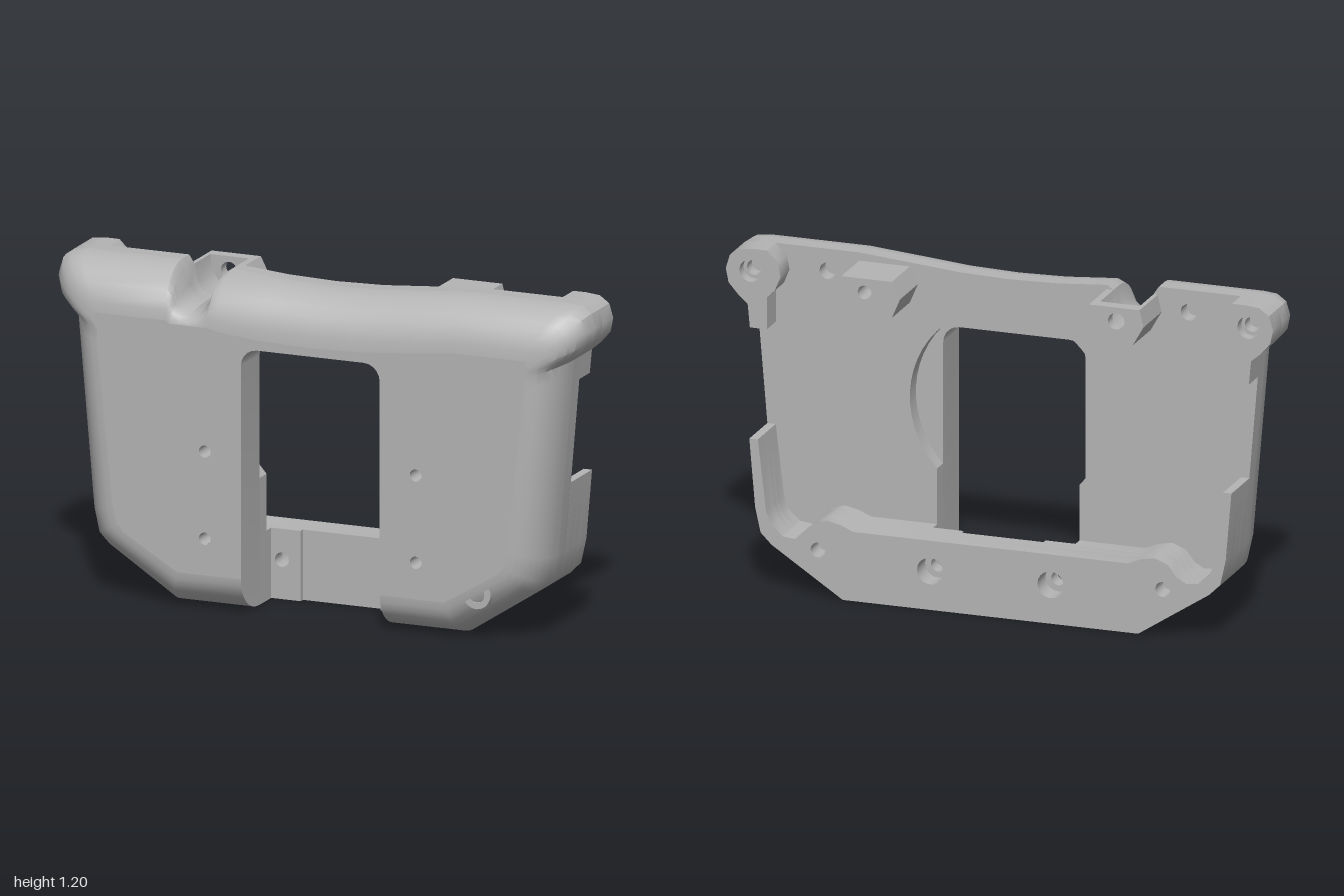
import * as THREE from 'three';
import { toCreasedNormals } from 'three/addons/utils/BufferGeometryUtils.js';

const grey = new THREE.MeshStandardMaterial({ color: 0xb4b4b4, side: THREE.DoubleSide });
grey.name = 'plain grey';

const mirror = pts => pts.map(p => p.map((v, i) => (i % 2 ? v : -v))).reverse();
const arc = (cx, cy, r, a0, a1, n) => Array.from({ length: n + 1 }, (_, i) => {
  const a = a0 + (a1 - a0) * i / n;
  return [cx + r * Math.cos(a), cy + r * Math.sin(a)];
});

// Flat shape from points, with round holes [x, y, radius]
function makeShape(pts, holes = []) {
  const s = new THREE.Shape(pts.map(p => new THREE.Vector2(p[0], p[1])));
  for (const [x, y, r] of holes) s.holes.push(new THREE.Path().absarc(x, y, r, 0, Math.PI * 2, true));
  return s;
}

export function createModel() {
  const group = new THREE.Group();
  const add = (name, geo) => {
    const m = new THREE.Mesh(geo, grey);
    m.name = name;
    group.add(m);
    return m;
  };
  const slab = (name, pts, z0, z1, holes) => {
    const geo = new THREE.ExtrudeGeometry(makeShape(pts, holes), { depth: z1 - z0, bevelEnabled: false, curveSegments: 10 });
    geo.translate(0, 0, z0);
    return add(name, toCreasedNormals(geo, 0.6));
  };
  const pit = (name, x, y, r, z0, z1) => {
    const geo = new THREE.CylinderGeometry(r, r, z1 - z0, 20, 1, true);
    geo.rotateX(Math.PI / 2);
    geo.translate(x, y, (z0 + z1) / 2);
    add(name, geo);
  };

  // Outline of one side: back x, y, then the matching front face x, y
  const side = [
    [0.26, 0, 0.26, 0.13], [0.54, 0, 0.5, 0.13], [0.8, 0.17, 0.7, 0.25], [0.84, 0.21, 0.725, 0.28],
    [0.86, 0.3, 0.74, 0.34], [0.915, 0.95, 0.8, 0.92], [0.92, 1.0, 0.8, 0.96], [0.955, 1.03, 0.81, 0.98],
    [0.99, 1.07, 0.815, 0.99], [1, 1.12, 0.815, 1.0], [0.985, 1.17, 0.81, 1.01], [0.95, 1.195, 0.8, 1.02],
    [0.9, 1.2, 0.78, 1.02], [0.55, 1.2, 0.54, 1.02],
  ];
  const dip = [[0.36, 1.185, 0.35, 1.0], [0.18, 1.17, 0.18, 0.985], [0, 1.165, 0, 0.98], [-0.18, 1.17, -0.18, 0.985]];
  // Cable trough cut into the top edge
  const trough = [[-0.385, 1.17], [-0.4, 1.11], [-0.425, 1.075], [-0.46, 1.06], [-0.495, 1.075], [-0.52, 1.11], [-0.53, 1.17]];
  const outer = [...side, ...dip, [-0.36, 1.185, -0.35, 1.0], ...trough.map(([x, y]) => [x, y, x, 1.01]), ...mirror(side)];

  // Window, open at the bottom
  const slot = [...arc(-0.2, 0.89, 0.06, Math.PI, Math.PI / 2, 5), ...arc(0.2, 0.89, 0.06, Math.PI / 2, 0, 5)];
  const contour = [...outer, ...slot.map(([x, y]) => [x, y, x, y])];

  // Rounded front shell lofted from the outline to the front face
  const zMid = 0.04, zFront = 0.2, steps = 8, n = contour.length;
  const ring = k => {
    const t = k / steps * Math.PI / 2, f = 1 - Math.cos(t), z = zMid + (zFront - zMid) * Math.sin(t);
    return contour.map(([x, y, u, v]) => [x + (u - x) * f, y + (v - y) * f, z]);
  };
  const pos = [];
  for (let k = 0; k < steps; k++) {
    const lo = ring(k), hi = ring(k + 1);
    for (let i = 0; i < n; i++) {
      const j = (i + 1) % n;
      pos.push(...lo[i], ...lo[j], ...hi[j], ...lo[i], ...hi[j], ...hi[i]);
    }
  }
  const shell = new THREE.BufferGeometry();
  shell.setAttribute('position', new THREE.Float32BufferAttribute(pos, 3));
  add('frontShell', toCreasedNormals(shell, 0.6));

  // Front face with four small screw holes
  const screws = [-0.395, 0.395].flatMap(x => [0.26, 0.57].map(y => [x, y, 0.022]));
  const face = new THREE.ShapeGeometry(makeShape(contour.map(p => [p[2], p[3]]), screws));
  face.translate(0, 0, zFront);
  add('frontFace', face);
  screws.forEach(([x, y, r]) => pit('screwHole', x, y, r, zMid, zFront));

  // Floor of the round recess, facing back
  const floor = new THREE.ShapeGeometry(makeShape(contour));
  floor.translate(0, 0, zMid);
  add('recessFloor', floor);

  // Back layer with round recess and screw sockets
  const a = Math.acos(0.26 / 0.36);
  slab('backPlate', [...outer, ...arc(0, 0.7, 0.36, Math.PI + a, -a, 40)], -0.02, zMid,
    [[-0.66, 1.12, 0.03], [0.66, 1.12, 0.03]]);

  // Lower rear bar with side walls, in layers for the counterbored holes
  const wall = [
    [0.54, 0], [0.8, 0.17], [0.84, 0.21], [0.86, 0.3], [0.881, 0.545], [0.85, 0.545], [0.82, 0.29],
    [0.8, 0.24], [0.76, 0.205], [0.715, 0.2], [0.68, 0.22], [0.65, 0.26], [0.6, 0.28], [0.55, 0.27], [0.5, 0.25],
  ];
  const bar = [...wall, ...mirror(wall)];
  const small = [[-0.63, 0.17, 0.027], [0.63, 0.17, 0.027]];
  const bolts = r => [-0.22, 0.22].map(x => [x, 0.14, r]);
  slab('rearBar', bar, -0.2, -0.12, [...small, ...bolts(0.048)]);
  slab('rearBarWeb', bar, -0.12, -0.08, bolts(0.026));
  for (const s of [1, -1]) {
    const flip = pts => (s > 0 ? pts : mirror(pts));
    slab('barEnd', flip([[0.26, 0], ...wall, [0.26, 0.25]]), -0.08, -0.02);
    slab('barPad', flip([[0.15, 0], [0.26, 0], [0.26, 0.25], [0.15, 0.25]]), -0.08, -0.06, [[s * 0.22, 0.14, 0.026]]);
    // Corner ear with a screw socket and a tab below
    slab('cornerEar', flip([
      [0.85, 0.915], [0.912, 0.915], [0.92, 1.0], [0.955, 1.03], [0.99, 1.07], [1, 1.12], [0.985, 1.17],
      [0.95, 1.195], [0.9, 1.2], [0.85, 1.2], [0.81, 1.16], [0.8, 1.11], [0.82, 1.06], [0.85, 1.03],
    ]), -0.11, -0.02, [[s * 0.91, 1.12, 0.04]]);
    slab('earSleeve', flip(arc(0.91, 1.12, 0.04, 0, Math.PI * 2, 20).slice(0, -1)), -0.07, -0.02, [[s * 0.91, 1.12, 0.027]]);
  }

  // Upper standoffs; the right one carries the trough
  const hex = [[0.36, 1.04], [0.52, 1.04], [0.56, 1.11], [0.545, 1.17], [0.36, 1.17], [0.33, 1.11]];
  slab('leftStandoff', hex, -0.2, -0.02, [[0.46, 1.12, 0.025]]);
  slab('rightStandoffEnd', mirror(hex), -0.2, -0.155, [[-0.46, 1.12, 0.03]]);
  slab('rightStandoff', [[-0.52, 1.04], [-0.36, 1.04], [-0.33, 1.11], [-0.36, 1.17], ...trough, [-0.545, 1.17], [-0.56, 1.11]],
    -0.155, -0.02);

  // Collar around the lower corner hole
  slab('cornerCollar', arc(0.62, 0.17, 0.052, 0, Math.PI * 2, 24).slice(0, -1), 0.1, 0.195, [[0.62, 0.17, 0.03]]);
  return group;
}
